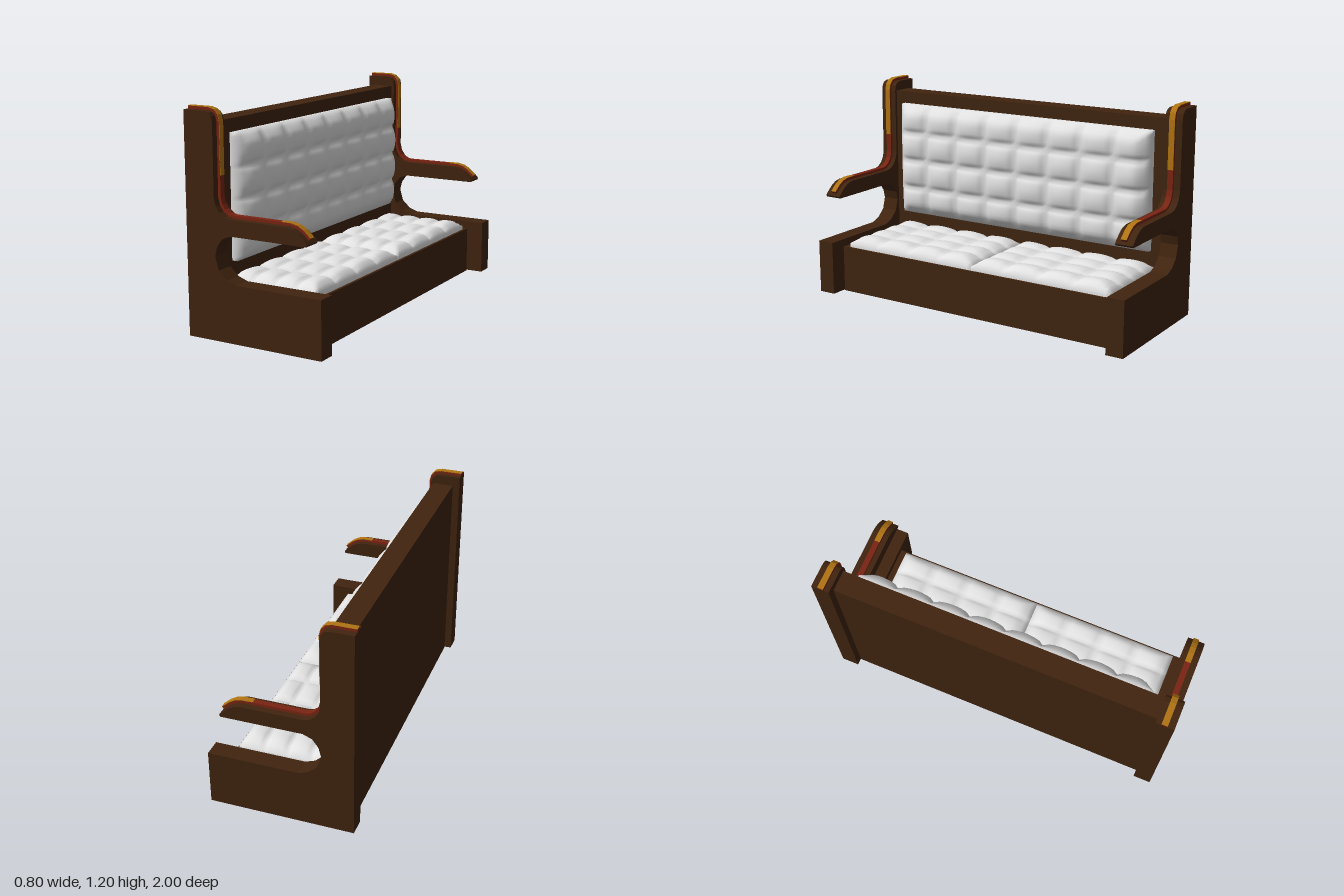
import * as THREE from 'three';

const mat = (name, color, side = THREE.FrontSide) => {
  const m = new THREE.MeshStandardMaterial({ color, side });
  m.name = name;
  return m;
};

export function createModel() {
  const wood = mat('dark wood', 0x40240f);
  const red = mat('red trim', 0x7a2412);
  const gold = mat('gold trim', 0xb07412);
  const white = mat('white upholstery', 0xe2e2e2, THREE.DoubleSide);

  const group = new THREE.Group();
  const add = (name, geo, material) => {
    const mesh = new THREE.Mesh(geo, material);
    mesh.name = name;
    group.add(mesh);
    return mesh;
  };
  const box = (name, x0, x1, y0, y1, z0, z1) =>
    add(name, new THREE.BoxGeometry(x1 - x0, y1 - y0, z1 - z0), wood)
      .position.set((x0 + x1) / 2, (y0 + y1) / 2, (z0 + z1) / 2);
  const extrude = (name, points, z0, z1, material) => {
    const shape = new THREE.Shape(points);
    const geo = new THREE.ExtrudeGeometry(shape, { depth: z1 - z0, bevelEnabled: false });
    geo.translate(0, 0, z0);
    return add(name, geo, material);
  };
  const vecs = (list) => list.map(([x, y]) => new THREE.Vector2(x, y));

  // Base and backrest
  box('seatBase', -0.36, 0.3, 0, 0.27, -0.9, 0.9);
  box('backrest', -0.36, -0.24, 0.27, 1.13, -0.9, 0.9);

  // Upper edge of a side panel, from the arm tip to the back of the top
  const edge = vecs([
    [0.31, 0.59], [0.27, 0.625], [0.24, 0.642], [0.205, 0.65], [0.15, 0.65],
    [-0.13, 0.65], [-0.165, 0.658], [-0.195, 0.68], [-0.215, 0.71], [-0.225, 0.75],
    [-0.225, 0.86], [-0.225, 1.13], [-0.232, 1.16], [-0.248, 1.178], [-0.275, 1.185],
    [-0.4, 1.185],
  ]);
  // Base front and rounded opening below the arm
  const lower = vecs([
    [-0.4, 0.005], [0.4, 0.005], [0.4, 0.315], [-0.1, 0.315], [-0.155, 0.335],
    [-0.205, 0.38], [-0.225, 0.45], [-0.213, 0.5], [-0.18, 0.545], [-0.13, 0.565],
    [0.315, 0.565], [0.322, 0.575],
  ]);

  // Edge pushed outward by a distance
  const offset = (d) => edge.map((p, i) => {
    const a = edge[Math.max(i - 1, 0)], b = edge[Math.min(i + 1, edge.length - 1)];
    const t = b.clone().sub(a).normalize();
    return new THREE.Vector2(p.x + t.y * d, p.y - t.x * d);
  });
  const band = (from, to, d0, d1) => [
    ...offset(d1).slice(from, to + 1),
    ...offset(d0).slice(from, to + 1).reverse(),
  ];

  // Side panels with armrests and their two-colour trim
  for (const [side, s] of [['left', 1], ['right', -1]]) {
    const span = (a, b) => (s > 0 ? [a, b] : [-b, -a]);
    extrude(side + 'SidePanel', [...lower, ...edge], ...span(0.9, 1), wood);
    const z = span(0.93, 0.963);
    extrude(side + 'Trim', band(0, 15, 0, 0.015), ...z, red);
    extrude(side + 'ArmGoldStrip', band(0, 4, 0.014, 0.017), ...z, gold);
    extrude(side + 'TopGoldStrip', band(10, 15, 0.014, 0.017), ...z, gold);
  }

  // Tufted cushion: a grid of puffed cells with a skirt; width along x, height along y
  const cushion = (w, h, cols, rows, rim, seam, puff, tilt) => {
    const n = 8, nx = cols * n + 2, ny = rows * n + 2;
    const geo = new THREE.PlaneGeometry(1, 1, nx, ny);
    const pos = geo.attributes.position;
    const bump = (t) => 1 - Math.abs(2 * (t - Math.floor(t)) - 1) ** 1.7;
    for (let j = 0; j <= ny; j++) {
      for (let i = 0; i <= nx; i++) {
        const a = THREE.MathUtils.clamp(i - 1, 0, nx - 2) / n;
        const b = THREE.MathUtils.clamp(j - 1, 0, ny - 2) / n;
        const skirt = i === 0 || j === 0 || i === nx || j === ny;
        const edgeDist = Math.min(a, b, cols - a, rows - b);
        const round = THREE.MathUtils.smoothstep(edgeDist, 0, 0.35);
        const top = rim + (seam - rim) * round + puff * Math.sqrt(bump(a) * bump(b));
        const lean = 1 - tilt * Math.abs(2 * b / rows - 1) ** 3;
        pos.setXYZ(j * (nx + 1) + i, (a / cols - 0.5) * w, (0.5 - b / rows) * h, skirt ? 0 : top * lean);
      }
    }
    geo.computeVertexNormals();
    return geo;
  };

  // Back cushion faces the front of the bench
  const back = cushion(1.67, 0.67, 8, 4, 0.04, 0.07, 0.033, 0.2);
  back.rotateY(Math.PI / 2);
  add('backCushion', back, white).position.set(-0.24, 0.725, 0);

  // Two seat cushions side by side
  for (const [side, s] of [['left', 1], ['right', -1]]) {
    const seat = cushion(0.86, 0.525, 4, 4, 0.025, 0.046, 0.022, 0);
    seat.rotateX(-Math.PI / 2);
    seat.rotateY(Math.PI / 2);
    add(side + 'SeatCushion', seat, white).position.set(0.0225, 0.27, s * 0.43);
  }

  return group;
}
